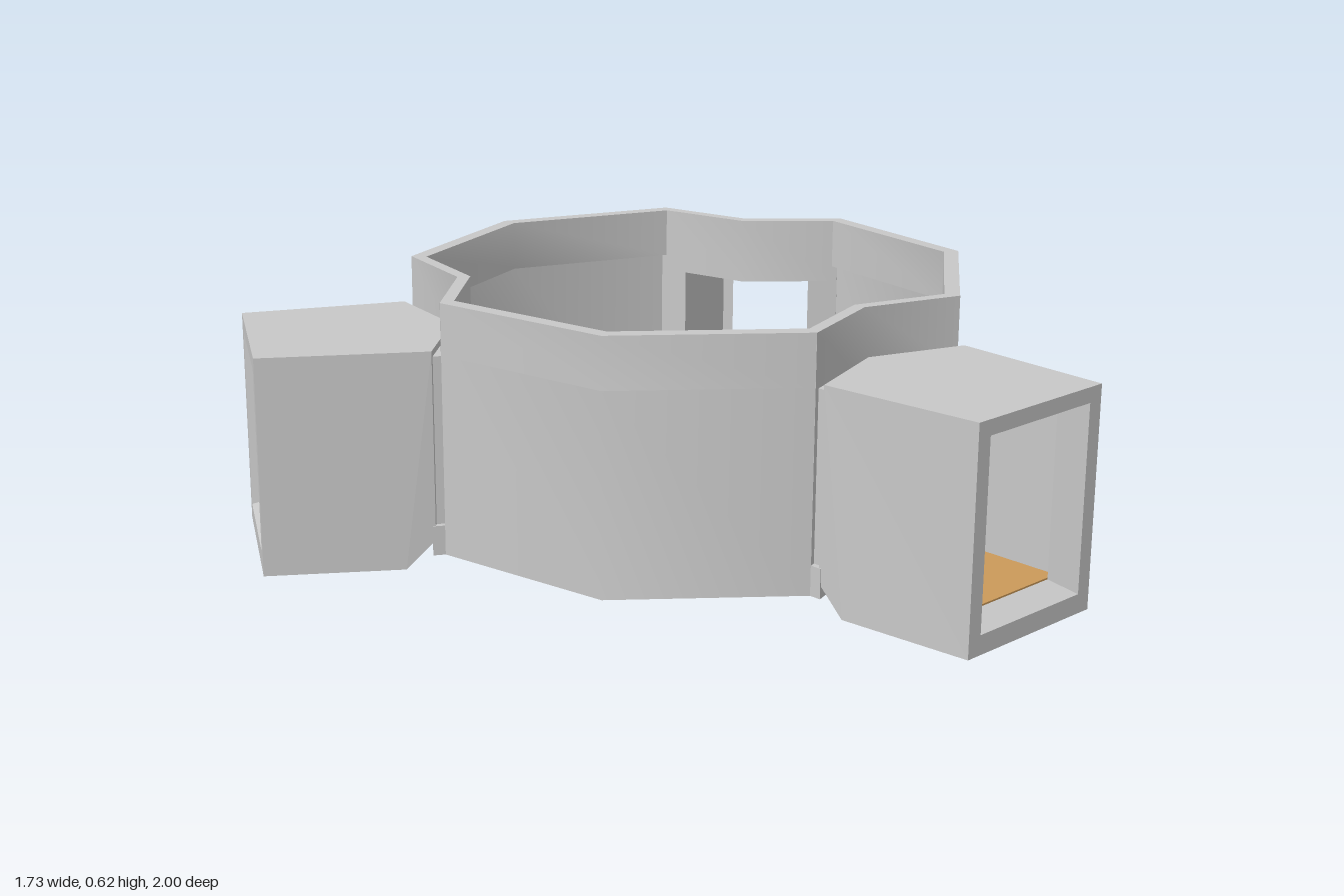
import * as THREE from 'three';
import { toCreasedNormals } from 'three/addons/utils/BufferGeometryUtils.js';

const SLOPE = 0.32;          // how far the V-shaped joints open per unit of width
const DOOR = 0.165;          // half width of the doorways
const CORNER = [0.625, 0.236], NOTCH = 0.55, OUTER = 0.676;

// plan point at distance r along direction a, shifted t sideways
const P = (a, r, t = 0) => [r * Math.cos(a) - t * Math.sin(a), r * Math.sin(a) + t * Math.cos(a)];

// vertical prism over a plan outline given as [x, z]
function prism(points, y0, y1) {
  const shape = new THREE.Shape(points.map(([x, z]) => new THREE.Vector2(x, -z)));
  const g = new THREE.ExtrudeGeometry(shape, { depth: y1 - y0, bevelEnabled: false });
  g.rotateX(-Math.PI / 2).translate(0, y0, 0);
  return toCreasedNormals(g, 0.82);
}

// V-shaped strip across the joint, from r0 to r1, between t0 and t1
function chevron(r0, r1, t0, t1, y0, y1) {
  const ts = t0 < 0 && t1 > 0 ? [t0, 0, t1] : [t0, t1];
  const line = (r) => ts.map((t) => [r + SLOPE * Math.abs(t), t]);
  return prism([...line(r0), ...line(r1).reverse()], y0, y1);
}

// closed loft through rectangular sections; each has half width, heights and a V offset
function loft(sections) {
  const rings = sections.map(({ rb, rt = rb, w, y0, y1, v = 0 }) => {
    const d = v * w;
    return [[rb + d, y0, -w], [rb, y0, 0], [rb + d, y0, w], [rt + d, y1, w], [rt, y1, 0], [rt + d, y1, -w]];
  });
  const pos = [];
  rings.forEach((A, i) => {
    const B = rings[(i + 1) % rings.length];
    for (let j = 0; j < 6; j++) {
      const k = (j + 1) % 6;
      pos.push(...A[j], ...A[k], ...B[k], ...A[j], ...B[k], ...B[j]);
    }
  });
  const g = new THREE.BufferGeometry();
  g.setAttribute('position', new THREE.Float32BufferAttribute(pos, 3));
  g.computeVertexNormals();
  return g;
}

export function createModel() {
  const grey = new THREE.MeshStandardMaterial({ color: 0xc8c8c8 });
  grey.name = 'wall grey';
  const tan = new THREE.MeshStandardMaterial({ color: 0xcb9a5a });
  tan.name = 'floor tan';

  const model = new THREE.Group();
  model.name = 'hubWithThreeModules';
  const hub = new THREE.Group();
  hub.name = 'hub';
  hub.position.x = 0.165;
  model.add(hub);
  const add = (parent, name, geometry, material = grey) => {
    const mesh = new THREE.Mesh(geometry, material);
    mesh.name = name;
    parent.add(mesh);
    return mesh;
  };

  // curved wall panel between two joints, with thickness set by the inner scale
  const third = Math.PI * 2 / 3;
  const panel = (k, y0, y1) => {
    const line = (s) => [
      P(0, CORNER[0] * s, CORNER[1] * s),
      P(third / 2, OUTER * s),
      P(third, CORNER[0] * s, -CORNER[1] * s),
    ];
    return prism([...line(1), ...line(k).reverse()], y0, y1);
  };

  const lowerPanel = panel(0.965, 0.03, 0.5);
  const upperPanel = panel(0.945, 0.5, 0.62);
  const lintel = chevron(NOTCH - 0.03, NOTCH, -0.236, 0.236, 0.46, 0.62);
  const sill = chevron(NOTCH - 0.03, 0.578, -0.236, 0.236, 0.03, 0.1);
  const collarTop = chevron(0.545, 0.572, -0.222, 0.222, 0.465, 0.495);

  // hollow module: outside skin, V-shaped inner end, room, then bevelled window frame
  const moduleShell = loft([
    { rb: 1.035, w: 0.205, y0: 0, y1: 0.51 },
    { rb: 0.635, rt: 0.566, w: 0.233, y0: 0, y1: 0.51, v: 0.343 },
    { rb: 0.566, w: 0.233, y0: 0.065, y1: 0.51, v: 0.343 },
    { rb: 0.566, w: DOOR, y0: 0.07, y1: 0.47, v: 0.343 },
    { rb: 0.975, w: DOOR, y0: 0.07, y1: 0.47 },
    { rb: 0.975, w: 0.137, y0: 0.07, y1: 0.445 },
    { rb: 1.035, w: 0.167, y0: 0.045, y1: 0.475 },
  ]);
  const roomFloor = prism([
    [0.57, 0], [0.625, DOOR], [0.975, DOOR], [0.975, -DOOR], [0.625, -DOOR],
  ], 0.068, 0.074);

  for (let i = 0; i < 3; i++) {
    const segment = new THREE.Group();
    segment.name = 'segment' + (i + 1);
    segment.rotation.y = -(Math.PI / 3 + i * third);
    hub.add(segment);
    add(segment, 'lowerWall', lowerPanel);
    add(segment, 'upperWall', upperPanel);
    add(segment, 'doorLintel', lintel);
    add(segment, 'doorSill', sill);
    add(segment, 'collarTop', collarTop);
    for (const s of [-1, 1]) {
      const [a, b] = s < 0 ? [-0.236, -DOOR] : [DOOR, 0.236];
      add(segment, 'doorJamb', chevron(NOTCH - 0.03, NOTCH, a, b, 0.1, 0.46));
      const [c, d] = s < 0 ? [-0.222, -DOOR] : [DOOR, 0.222];
      add(segment, 'collarSide', chevron(0.545, 0.572, c, d, 0.1, 0.495));
    }
    add(segment, 'moduleShell', moduleShell);
    add(segment, 'moduleFloor', roomFloor, tan);
  }

  // hub floor with one side cut away
  const k = 0.962;
  const outline = [];
  for (let i = 0; i < 3; i++) {
    const a = Math.PI / 3 + i * third;
    outline.push(P(a, CORNER[0] * k, -CORNER[1] * k), P(a, NOTCH * k), P(a, CORNER[0] * k, CORNER[1] * k));
    if (i === 1) outline.push([-0.445, -0.185], [0.04, -0.315]);
    else outline.push(P(a + third / 2, OUTER * k));
  }
  add(hub, 'hubFloor', prism(outline, 0.08, 0.102), tan);
  add(hub, 'hubUnderside', prism(outline, 0.074, 0.08));
  return model;
}
